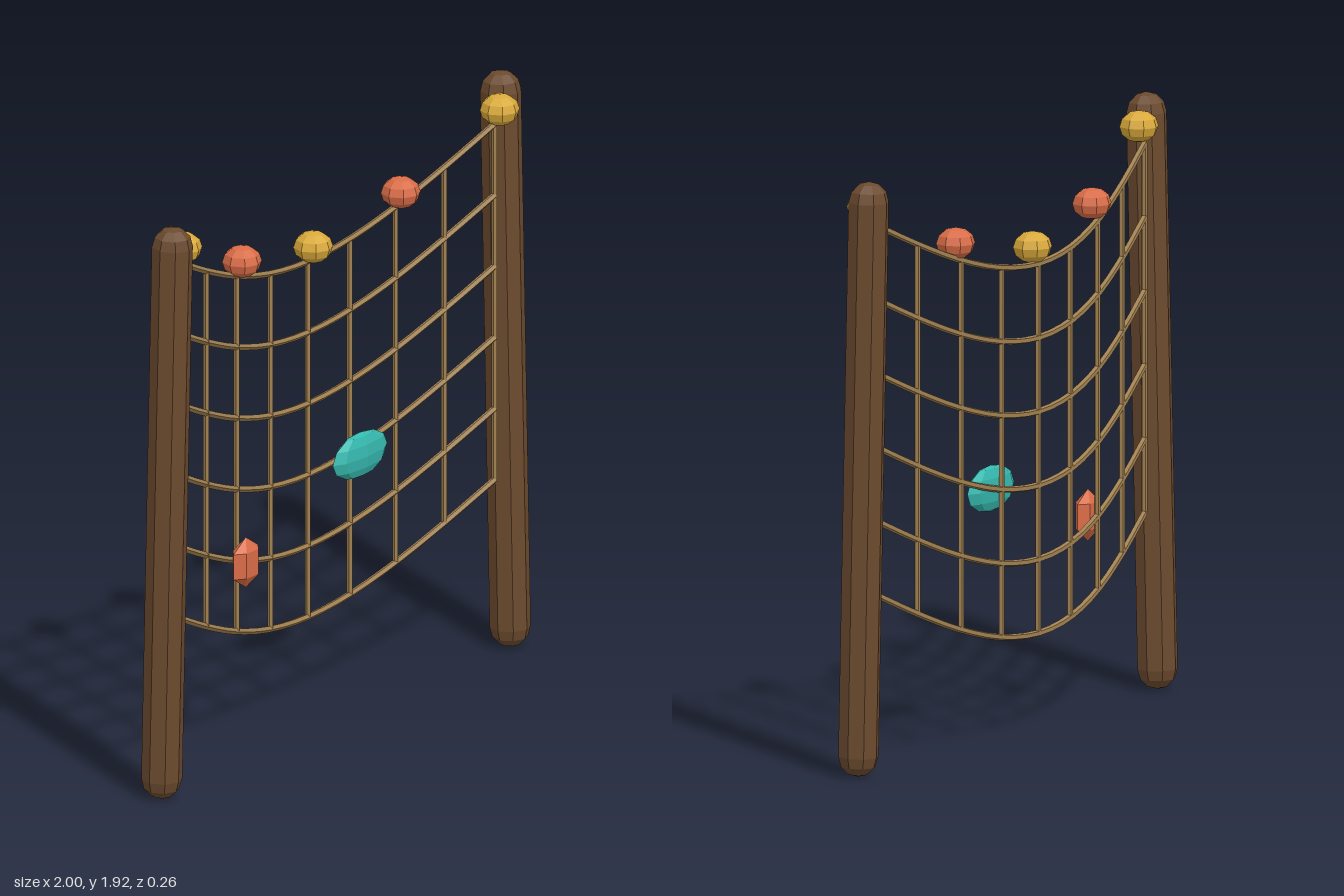
import * as THREE from 'three';

const mat = (name, color) => {
  const m = new THREE.MeshStandardMaterial({ color, flatShading: true });
  m.name = name;
  return m;
};

export function createModel() {
  const wood = mat('dark wood', 0x6b4a2e);
  const rope = mat('rope tan', 0xa08050);
  const yellow = mat('float yellow', 0xd9a93a);
  const coral = mat('coral', 0xd96c47);
  const teal = mat('teal', 0x35b8ae);

  const group = new THREE.Group();
  const add = (name, geometry, material, x = 0, y = 0, z = 0) => {
    const mesh = new THREE.Mesh(geometry, material);
    mesh.name = name;
    mesh.position.set(x, y, z);
    group.add(mesh);
    return mesh;
  };

  // Two round-ended posts, leaning slightly in opposite directions
  const post = new THREE.CapsuleGeometry(0.066, 1.788, 3, 8, 1);
  add('rightPost', post, wood, -0.935, 0.96, 0.042).rotation.x = 0.023;
  add('leftPost', post, wood, 0.935, 0.96, 0).rotation.x = -0.021;

  // Net surface: sags downward and billows to the back
  const HALF = 0.85, COLS = 8, ROWS = 5;
  const netPoint = (col, row) => {
    const s = Math.sin((Math.PI * col) / COLS);
    return new THREE.Vector3(
      -HALF + (2 * HALF * col) / COLS,
      1.77 - 0.238 * row - 0.25 * s,
      0.02 - 0.11 * s
    );
  };

  // Sagging horizontal ropes
  for (let row = 0; row <= ROWS; row++) {
    const pts = [];
    for (let c = 0; c <= COLS; c++) pts.push(netPoint(c, row));
    const curve = new THREE.CatmullRomCurve3(pts);
    add('horizontalRope', new THREE.TubeGeometry(curve, 24, 0.011, 5), rope);
  }

  // Straight vertical ropes
  for (let col = 0; col <= COLS; col++) {
    const a = netPoint(col, 0), b = netPoint(col, ROWS);
    const g = new THREE.CylinderGeometry(0.01, 0.01, a.y - b.y, 5);
    add('verticalRope', g, rope, a.x, (a.y + b.y) / 2, a.z);
  }

  // Floats along the top rope, alternating colours
  const ball = new THREE.SphereGeometry(0.064, 8, 6).scale(1, 0.8, 1);
  for (let i = 0; i <= 4; i++) {
    const p = netPoint(i * 2, 0);
    add('float', ball, i % 2 ? coral : yellow, p.x, p.y + 0.053, p.z + 0.02);
  }

  // Flattened ornaments caught on the front of the net
  const t = netPoint(5, 4 - 1);
  add('tealOrnament', new THREE.SphereGeometry(1, 8, 6).scale(0.146, 0.075, 0.032),
    teal, t.x, t.y, t.z + 0.04);
  const c = netPoint(2, 4);
  add('coralOrnament', new THREE.SphereGeometry(1, 6, 3).scale(0.075, 0.084, 0.036),
    coral, c.x, c.y, c.z + 0.035);

  return group;
}
